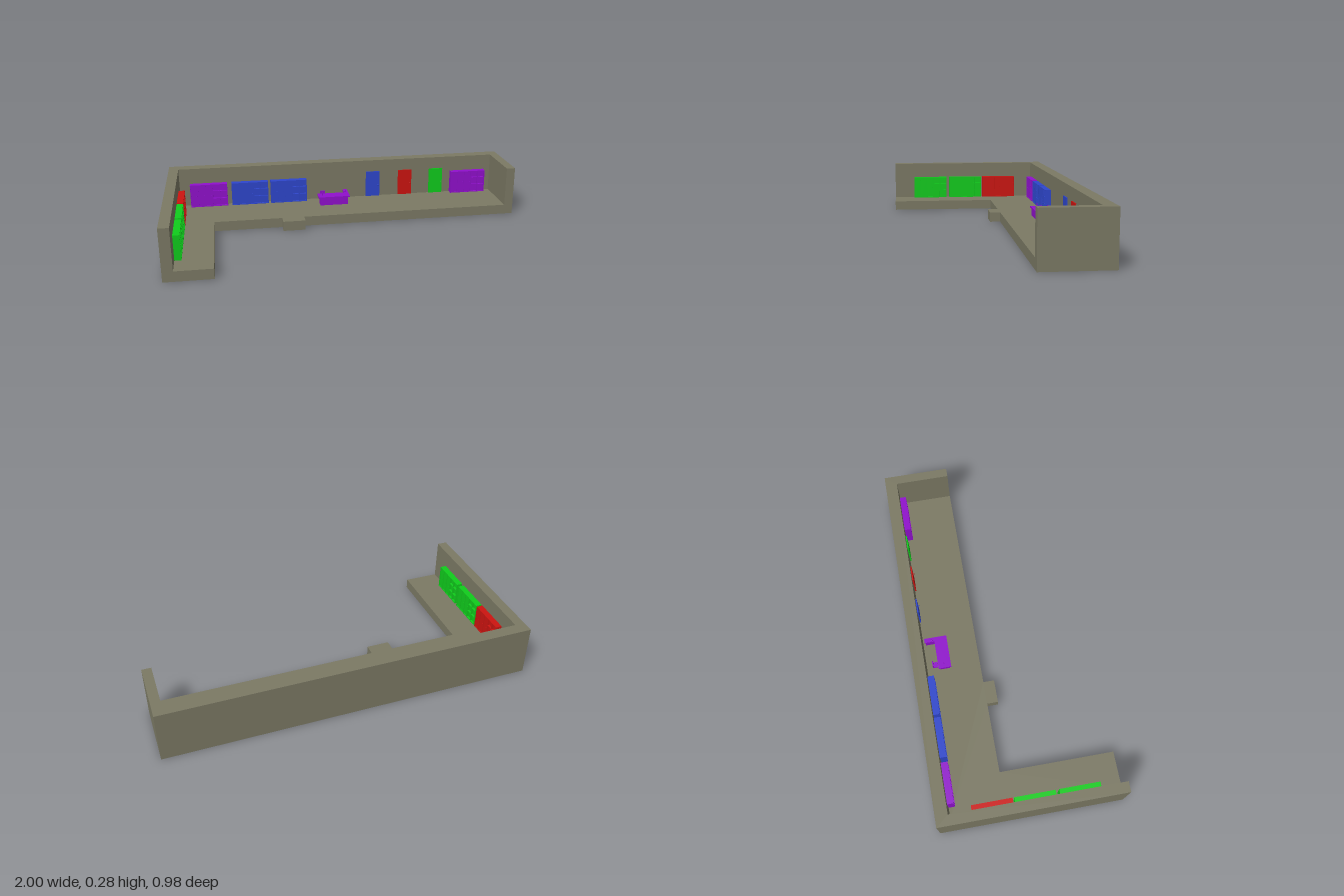
import * as THREE from 'three';

const paint = (color) => new THREE.MeshStandardMaterial({ color, flatShading: true, side: THREE.DoubleSide });
const MAT = {
  stone: paint(0x7b7964), purple: paint(0x9010cc), blue: paint(0x2e46cc),
  red: paint(0xcc1410), green: paint(0x10cc1c),
};
const FLOOR = 0.055, TOP = 0.28;

function mesh(parent, name, geometry, material) {
  const m = new THREE.Mesh(geometry, material);
  m.name = name;
  parent.add(m);
  return m;
}

// Box given by its minimum and maximum corners
function box(parent, name, mat, [x0, y0, z0], [x1, y1, z1]) {
  const m = mesh(parent, name, new THREE.BoxGeometry(x1 - x0, y1 - y0, z1 - z0), mat);
  m.position.set((x0 + x1) / 2, (y0 + y1) / 2, (z0 + z1) / 2);
  return m;
}

// Vertical strip standing along a plan path of [x, z] points
function ribbon(parent, name, path, y0, y1) {
  const pos = [];
  for (let i = 0; i < path.length - 1; i++) {
    const [ax, az] = path[i], [bx, bz] = path[i + 1];
    pos.push(ax, y0, az, bx, y0, bz, bx, y1, bz, ax, y0, az, bx, y1, bz, ax, y1, az);
  }
  const g = new THREE.BufferGeometry();
  g.setAttribute('position', new THREE.Float32BufferAttribute(pos, 3));
  g.computeVertexNormals();
  mesh(parent, name, g, MAT.stone);
}

// Flat plan outline of [x, z] points at height y
function slab(parent, name, outline, y) {
  const shape = new THREE.Shape(outline.map(([x, z]) => new THREE.Vector2(x, z)));
  const g = new THREE.ShapeGeometry(shape).rotateX(Math.PI / 2).translate(0, y, 0);
  mesh(parent, name, g, MAT.stone);
}

// Hollow L-shaped room: floor, skirt and thick walls, open underneath
function room() {
  const g = new THREE.Group();
  g.name = 'room';
  const outer = [[-1, 0.49], [-1, -0.49], [1, -0.49], [1, -0.13]];
  const inner = [[-0.945, 0.49], [-0.945, -0.425], [0.95, -0.425], [0.95, -0.13]];
  const front = [[0.95, -0.13], [-0.245, -0.13], [-0.245, -0.07], [-0.37, -0.07],
    [-0.37, -0.13], [-0.75, -0.13], [-0.75, 0.49], [-0.945, 0.49]];
  slab(g, 'floor', [...inner, ...front.slice(1, -1)], FLOOR);
  slab(g, 'wallTop', [...outer, ...[...inner].reverse()], TOP);
  ribbon(g, 'outerWall', outer, 0, TOP);
  ribbon(g, 'innerWall', inner, FLOOR, TOP);
  ribbon(g, 'frontSkirt', front, 0, FLOOR);
  ribbon(g, 'rightWallEnd', [outer[0], inner[0]], 0, TOP);
  ribbon(g, 'leftWallEnd', [outer[3], inner[3]], 0, TOP);
  return g;
}

// Wide cupboard with door leaves on the right and open shelves on the left
function cabinet(mat) {
  const g = new THREE.Group();
  g.name = 'cabinet';
  const W = 0.215, H = 0.135, D = 0.035, t = 0.004, n = 5, step = (W - t) / n;
  box(g, 'carcass', mat, [-W / 2, 0, 0], [W / 2, H, D - 0.012]);
  for (const y of [0, H - t]) box(g, 'rail', mat, [-W / 2, y, D - 0.013], [W / 2, y + t, D]);
  for (let i = 0; i <= n; i++) {
    const x = -W / 2 + i * step;
    box(g, 'upright', mat, [x, 0, D - 0.013], [x + t, H, D]);
    if (i === n) continue;
    if (i < 3) {
      box(g, 'door', mat, [x + t, t, D - 0.013], [x + step, H - t, D - 0.004]);
      box(g, 'handle', mat, [x + step - 0.008, 0.063, D - 0.004], [x + step - 0.004, 0.068, D + 0.001]);
    } else {
      for (const y of [0.045, 0.09]) box(g, 'shelf', mat, [x, y, D - 0.013], [x + step, y + t, D]);
    }
  }
  return g;
}

// Single door leaf with a round knob
function door(mat) {
  const g = new THREE.Group();
  g.name = 'door';
  box(g, 'doorLeaf', mat, [-0.042, 0, 0], [0.042, 0.155, 0.007]);
  mesh(g, 'doorKnob', new THREE.SphereGeometry(0.004, 10, 8), mat).position.set(0.033, 0.07, 0.01);
  return g;
}

// L-shaped reception desk with chair and small desktop objects
function desk() {
  const g = new THREE.Group(), m = MAT.purple, y = FLOOR;
  g.name = 'receptionDesk';
  box(g, 'deskBody', m, [-0.13, y, -0.352], [0.036, 0.1, -0.298]);
  box(g, 'deskTop', m, [-0.14, 0.1, -0.36], [0.045, 0.108, -0.29]);
  box(g, 'returnTop', m, [0.02, 0.1, -0.415], [0.045, 0.108, -0.36]);
  box(g, 'returnLeg', m, [0.024, y, -0.41], [0.04, 0.1, -0.35]);
  box(g, 'chairSeat', m, [-0.122, 0.076, -0.388], [-0.092, 0.082, -0.362]);
  box(g, 'chairBack', m, [-0.122, 0.082, -0.391], [-0.092, 0.115, -0.386]);
  mesh(g, 'chairPost', new THREE.CylinderGeometry(0.004, 0.01, 0.021, 10), m).position.set(-0.107, 0.0655, -0.375);
  box(g, 'deskLamp', m, [-0.116, 0.108, -0.33], [-0.111, 0.128, -0.325]);
  mesh(g, 'bell', new THREE.SphereGeometry(0.006, 10, 8), m).position.set(0.028, 0.112, -0.375);
  return g;
}

export function createModel() {
  const model = new THREE.Group();
  model.name = 'showroom';
  model.add(room(), desk());

  // Cabinets along the back wall
  for (const [x, color] of [[-0.7775, 'purple'], [-0.5375, 'blue'], [-0.3075, 'blue'], [0.8025, 'purple']]) {
    const c = cabinet(MAT[color]);
    c.position.set(x, FLOOR, -0.425);
    model.add(c);
  }
  // Cabinets along the side wall
  for (const [z, color] of [[-0.2, 'red'], [0.0235, 'green'], [0.2575, 'green']]) {
    const c = cabinet(MAT[color]);
    c.position.set(-0.945, FLOOR, z);
    c.rotation.y = Math.PI / 2;
    model.add(c);
  }
  // Doors in the back wall
  for (const [x, color] of [[0.208, 'blue'], [0.408, 'red'], [0.603, 'green']]) {
    const d = door(MAT[color]);
    d.position.set(x, FLOOR, -0.425);
    model.add(d);
  }
  return model;
}
